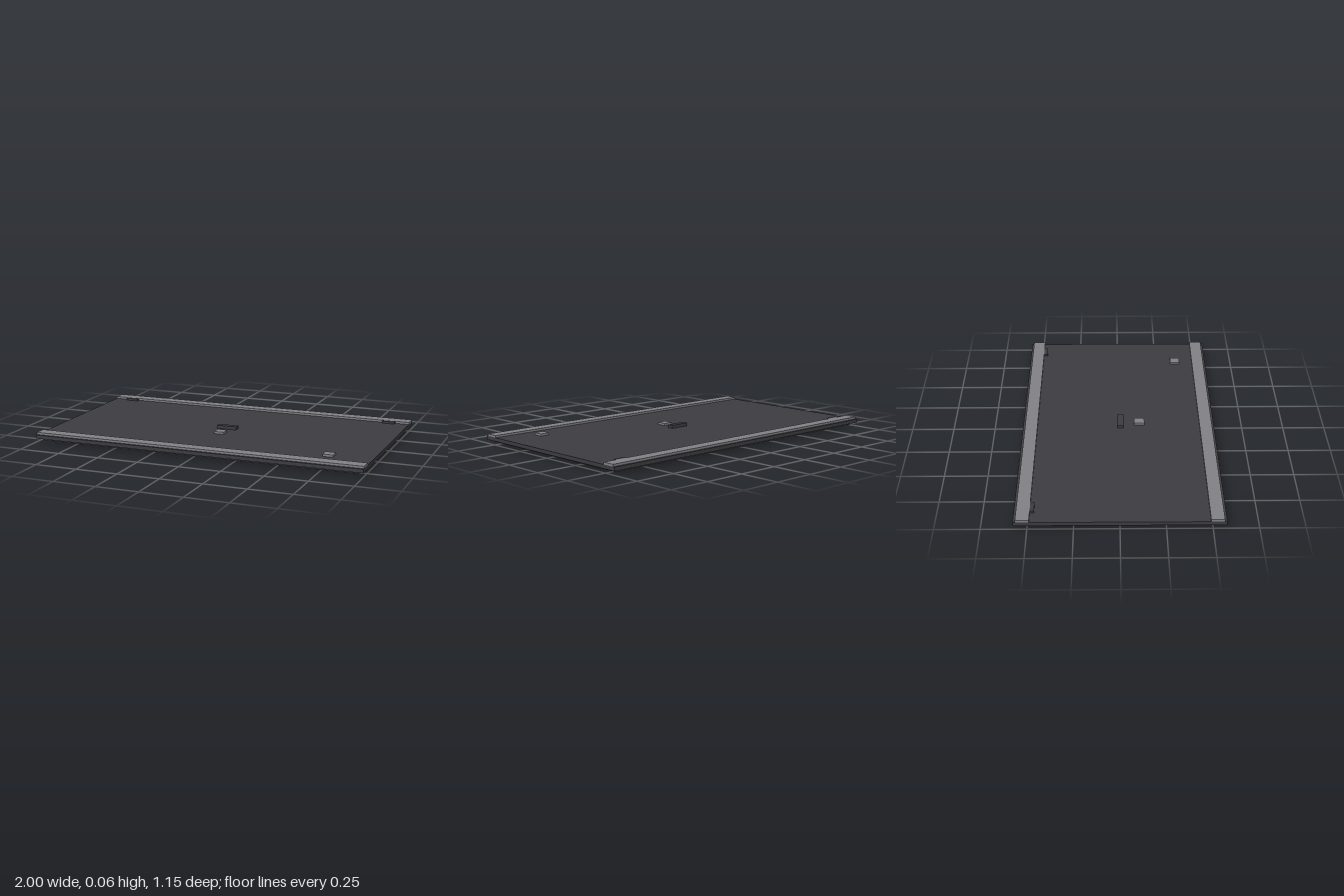
import * as THREE from 'three';

export function createModel() {
  const model = new THREE.Group();
  model.name = 'panel';
  const dark = new THREE.MeshStandardMaterial({ color: 0x3c3b40 });
  dark.name = 'charcoal';
  const grey = new THREE.MeshStandardMaterial({ color: 0x808085 });
  grey.name = 'mid grey';

  // Box given by its extents along each axis
  function box(name, material, [x0, x1], [y0, y1], [z0, z1]) {
    const mesh = new THREE.Mesh(new THREE.BoxGeometry(x1 - x0, y1 - y0, z1 - z0), material);
    mesh.position.set((x0 + x1) / 2, (y0 + y1) / 2, (z0 + z1) / 2);
    mesh.name = name;
    model.add(mesh);
  }

  const deck = 0.044, railTop = 0.057;

  // Main slab, with a slightly smaller panel beneath it
  box('slab', dark, [-1, 1], [0.022, deck], [-0.575, 0.575]);
  box('underPanel', dark, [-0.967, 0.967], [0.008, 0.022], [-0.545, 0.545]);

  // Shallow pads on the underside
  box('largePad', dark, [-0.25, 0.25], [0, 0.008], [-0.1875, 0.1875]);
  box('smallPad', dark, [0.5, 0.75], [0, 0.008], [-0.095, 0.095]);

  // Long rails along front and back
  box('frontRail', grey, [-1, 1], [deck, railTop], [0.488, 0.562]);
  box('backRail', grey, [-1, 1], [deck, railTop], [-0.562, -0.488]);

  // Small tabs against the back rail
  for (const side of [-1, 1]) {
    const x = side * 0.875;
    box(side > 0 ? 'leftTab' : 'rightTab', dark, [x - 0.04, x + 0.04], [deck, railTop - 0.0005], [-0.5, -0.465]);
  }

  // Handle and blocks on the deck
  box('handle', dark, [-0.0625, 0.0625], [deck, 0.063], [-0.006, 0.03]);
  box('centreBlock', grey, [-0.03, 0.03], [deck, railTop], [0.095, 0.156]);
  box('cornerBlock', grey, [0.72, 0.78], [deck, railTop], [0.346, 0.406]);

  return model;
}
